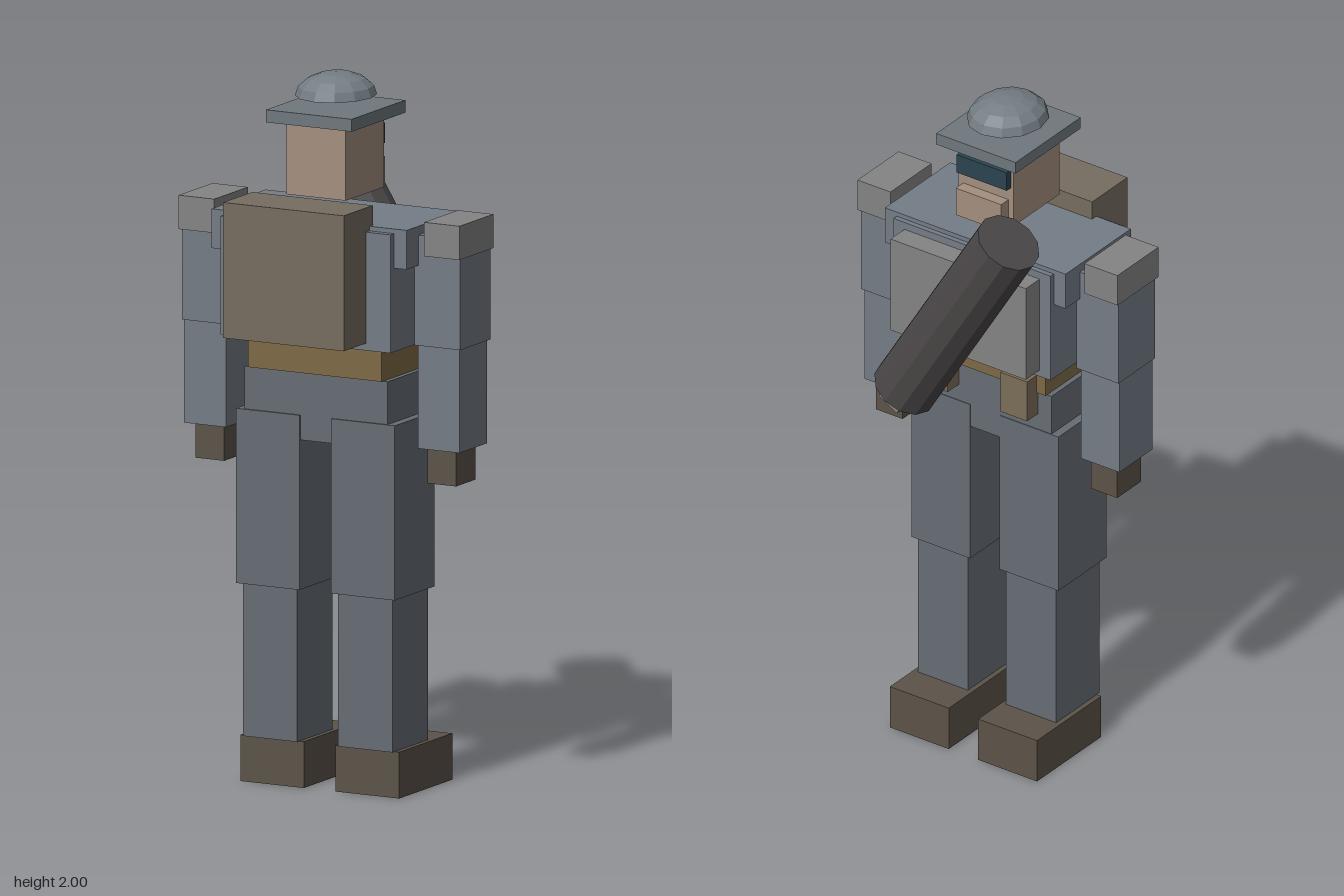
import * as THREE from 'three';

const mat = (color) => new THREE.MeshStandardMaterial({ color, flatShading: true });

export function createModel() {
  const model = new THREE.Group();
  const jacket = mat(0x747c86), trousers = mat(0x676c74), plate = mat(0x848484);
  const leather = mat(0x5c5348), canvas = mat(0x766d60), webbing = mat(0x7d6a45);
  const skin = mat(0xa48f7e), steel = mat(0x6f787e), gun = mat(0x4c4849);
  const glass = mat(0x2b4450), pouchCloth = mat(0x7b6d58);

  // Box from its extents along each axis
  function box(name, material, [x0, x1], [y0, y1], [z0, z1]) {
    const mesh = new THREE.Mesh(new THREE.BoxGeometry(x1 - x0, y1 - y0, z1 - z0), material);
    mesh.position.set((x0 + x1) / 2, (y0 + y1) / 2, (z0 + z1) / 2);
    mesh.name = name;
    model.add(mesh);
    return mesh;
  }
  const centred = (name, material, halfWidth, y, z) =>
    box(name, material, [-halfWidth, halfWidth], y, z);
  const pair = (name, material, [x0, x1], y, z) => {
    box('left' + name, material, [x0, x1], y, z);
    box('right' + name, material, [-x1, -x0], y, z);
  };

  // Legs
  pair('Boot', leather, [0.05, 0.25], [0, 0.13], [-0.15, 0.15]);
  pair('Shin', trousers, [0.065, 0.235], [0.13, 0.56], [-0.04, 0.162]);
  pair('Thigh', trousers, [0.05, 0.25], [0.56, 1.05], [-0.05, 0.175]);

  // Trunk
  centred('pelvis', trousers, 0.225, [0.98, 1.17], [-0.048, 0.17]);
  centred('belt', webbing, 0.21, [1.17, 1.27], [-0.055, 0.178]);
  centred('chest', jacket, 0.267, [1.265, 1.597], [-0.11, 0.23]);
  centred('yoke', jacket, 0.307, [1.5, 1.61], [-0.095, 0.21]);
  centred('chestPlate', plate, 0.23, [1.285, 1.575], [-0.175, -0.105]);
  centred('backpack', canvas, 0.19, [1.285, 1.665], [0.19, 0.355]);
  pair('BeltPouch', pouchCloth, [0.09, 0.18], [1.1, 1.225], [-0.1, -0.03]);

  // Arms
  pair('ShoulderPad', plate, [0.33, 0.442], [1.53, 1.625], [-0.038, 0.154]);
  pair('UpperArm', jacket, [0.295, 0.438], [1.275, 1.585], [-0.028, 0.143]);
  pair('Forearm', jacket, [0.302, 0.433], [0.985, 1.275], [-0.017, 0.138]);
  pair('Hand', leather, [0.32, 0.41], [0.885, 0.985], [0.005, 0.115]);

  // Head
  centred('head', skin, 0.093, [1.665, 1.875], [-0.045, 0.17]);
  centred('goggles', glass, 0.085, [1.785, 1.842], [-0.065, -0.04]);
  centred('jaw', skin, 0.077, [1.66, 1.745], [-0.08, -0.02]);

  // Helmet: flat brim with a shallow dome above it
  centred('helmetBrim', steel, 0.135, [1.87, 1.905], [-0.092, 0.212]);
  const domeMat = mat(0x747d84);
  domeMat.side = THREE.DoubleSide;
  const dome = new THREE.Mesh(
    new THREE.SphereGeometry(1, 12, 4, 0, Math.PI * 2, 0, Math.PI / 2), domeMat);
  dome.name = 'helmetDome';
  dome.scale.set(0.11, 0.066, 0.123);
  dome.position.set(0, 1.934, 0.058);
  model.add(dome);

  // Slanted launcher tube with a square stub at its lower end
  const launcher = new THREE.Group();
  launcher.name = 'launcher';
  const length = 0.68;
  const tube = new THREE.Mesh(new THREE.CylinderGeometry(0.094, 0.094, length, 12), gun);
  tube.name = 'launcherTube';
  const stub = new THREE.Mesh(new THREE.BoxGeometry(0.07, 0.1, 0.09), plate);
  stub.name = 'launcherStub';
  stub.position.y = -length / 2;
  launcher.add(tube, stub);
  launcher.position.set(-0.061, 1.476, -0.265);
  launcher.rotation.z = 0.545;
  model.add(launcher);

  return model;
}
